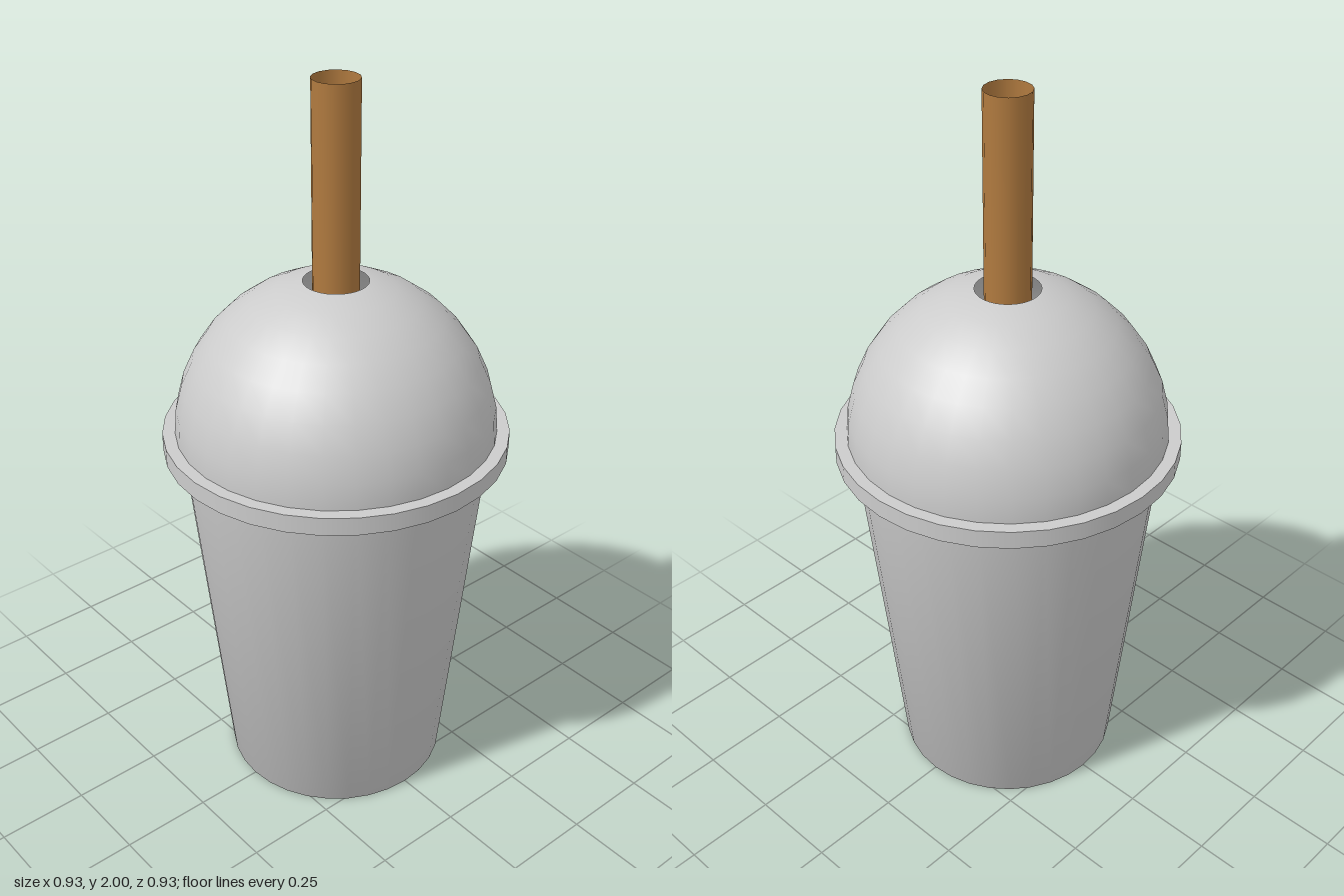
import * as THREE from 'three';

const SIDES = 32;

export function createModel() {
  const group = new THREE.Group();
  const grey = new THREE.MeshStandardMaterial({ color: 0xcccccc, side: THREE.DoubleSide });
  const brown = new THREE.MeshStandardMaterial({ color: 0xb07a3f, side: THREE.DoubleSide });

  const add = (name, geometry, material, y = 0) => {
    const mesh = new THREE.Mesh(geometry, material);
    mesh.name = name;
    mesh.position.y = y;
    group.add(mesh);
  };

  // Tapered cup with a closed floor, shaded smoothly round the bottom edge
  const profile = [[0, 0], [0.31, 0], [0.415, 1.04]].map(([x, y]) => new THREE.Vector2(x, y));
  add('cup', new THREE.LatheGeometry(profile, SIDES), grey);

  // Flat lid rim
  add('lidRim', new THREE.CylinderGeometry(0.463, 0.463, 0.05, SIDES), grey, 1.04);

  // Domed lid with a round hole at the top
  const hole = 0.2;
  add('domeLid', new THREE.SphereGeometry(0.43, SIDES, 8, 0, Math.PI * 2, hole, Math.PI / 2 - hole), grey, 1.06);

  // Open straw passing down through the hole
  const top = 2, bottom = 0.4;
  add('straw', new THREE.CylinderGeometry(0.061, 0.061, top - bottom, 16, 1, true), brown, (top + bottom) / 2);

  return group;
}
